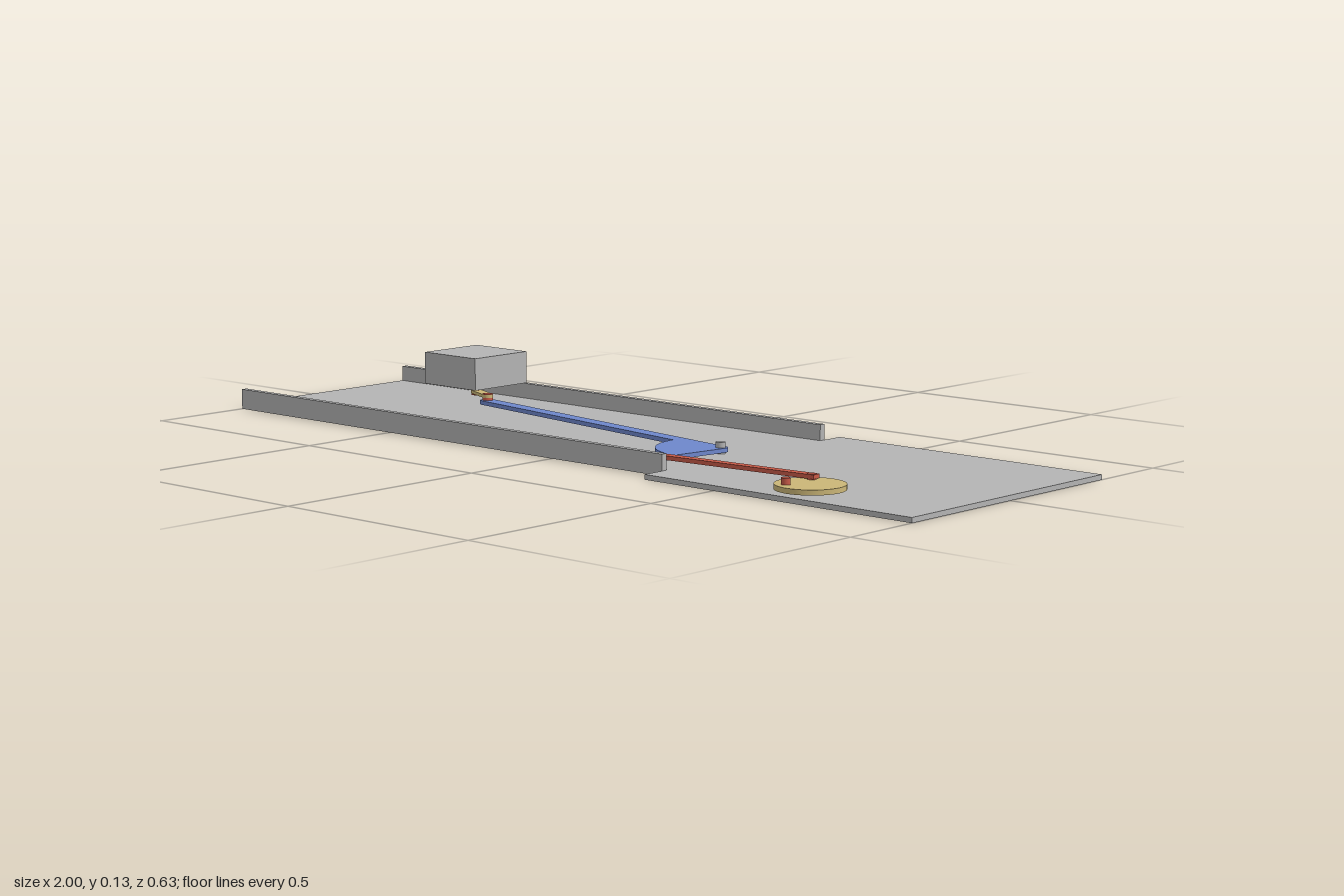
import * as THREE from 'three';

export function createModel() {
  const model = new THREE.Group();
  const mat = (name, color) => {
    const m = new THREE.MeshStandardMaterial({ color });
    m.name = name;
    return m;
  };
  const grey = mat('grey', 0xb4b4b4);
  const blue = mat('blue', 0x6e87cc);
  const yellow = mat('yellow', 0xcbb677);
  const red = mat('red', 0xc85a48);

  const add = (name, geometry, material) => {
    const mesh = new THREE.Mesh(geometry, material);
    mesh.name = name;
    model.add(mesh);
    return mesh;
  };
  // Box given by its limits on each axis
  const block = (name, x0, x1, y0, y1, z0, z1, material) =>
    add(name, new THREE.BoxGeometry(x1 - x0, y1 - y0, z1 - z0), material)
      .position.set((x0 + x1) / 2, (y0 + y1) / 2, (z0 + z1) / 2);
  // Upright cylinder between two heights
  const pin = (name, x, z, r, y0, y1, material, sides = 24) =>
    add(name, new THREE.CylinderGeometry(r, r, y1 - y0, sides), material)
      .position.set(x, (y0 + y1) / 2, z);
  // Plan shape (x, z) made into a plate between two heights
  const plate = (name, shape, y0, y1, material) => {
    const g = new THREE.ExtrudeGeometry(shape, { depth: y1 - y0, bevelEnabled: false, curveSegments: 24 });
    g.rotateX(Math.PI / 2);
    g.translate(0, y1, 0);
    return add(name, g, material);
  };

  // Stepped base plate
  const base = new THREE.Shape();
  [[-1, -0.262], [0.314, -0.262], [0.314, -0.315], [1, -0.315],
   [1, 0.315], [0.314, 0.315], [0.314, 0.262], [-1, 0.262]]
    .forEach(([x, z], i) => (i ? base.lineTo(x, z) : base.moveTo(x, z)));
  plate('basePlate', base, 0, 0.011, grey);

  // Side rails
  block('leftRail', -1, 0.314, 0.011, 0.046, 0.248, 0.262, grey);
  block('rightRail', -1, 0.314, 0.011, 0.046, -0.262, -0.248, grey);

  // Bell crank: long arm, short arm and the quarter web between them
  const w = 0.017, long = 0.835, short = 0.21, R = 0.137, q = Math.asin(w / R);
  const crank = new THREE.Shape();
  crank.absarc(0, 0, w, -Math.PI / 2, 0);
  crank.absarc(0, short, w, 0, Math.PI);
  crank.absarc(0, 0, R, Math.PI / 2 + q, Math.PI - q);
  crank.absarc(-long, 0, w, Math.PI / 2, Math.PI * 1.5);
  crank.closePath();
  const bellCrank = plate('bellCrank', crank, 0.0145, 0.024, blue);
  bellCrank.position.set(0.26, 0, 0.02);
  bellCrank.rotation.y = -0.154;
  pin('crankPivot', 0.262, 0.02, 0.0105, 0.011, 0.036, grey);

  // Drive wheel with its pin
  pin('driveWheel', 0.681, 0.23, 0.073, 0.015, 0.026, yellow, 48);
  pin('wheelPin', 0.652, 0.271, 0.0095, 0.026, 0.04, red);

  // Push rod from the short arm to the wheel, with a pin under each end
  const a = [0.226, 0.2275], b = [0.657, 0.191];
  const dx = b[0] - a[0], dz = b[1] - a[1];
  const rod = add('pushRod', new THREE.BoxGeometry(Math.hypot(dx, dz) + 0.014, 0.009, 0.021), red);
  rod.position.set((a[0] + b[0]) / 2, 0.0325, (a[1] + b[1]) / 2);
  rod.rotation.y = -Math.atan2(dz, dx);
  pin('rodCrankPin', a[0] + 0.003, a[1], 0.0095, 0.02, 0.0375, red);
  pin('rodWheelPin', b[0] - 0.005, b[1], 0.0095, 0.02, 0.0375, red);

  // Short link from the long arm to the load block
  const p = [-0.565, -0.109], s = [-0.634, -0.139];
  const ang = Math.atan2(s[1] - p[1], s[0] - p[0]), h = 0.012;
  const link = new THREE.Shape();
  link.absarc(0, 0, h, Math.PI / 2, Math.PI * 1.5);
  link.absarc(Math.hypot(s[0] - p[0], s[1] - p[1]), 0, h, -Math.PI / 2, Math.PI / 2);
  link.closePath();
  const linkMesh = plate('loadLink', link, 0.03, 0.0375, yellow);
  linkMesh.position.set(p[0], 0, p[1]);
  linkMesh.rotation.y = -ang;
  pin('armPin', p[0], p[1], 0.012, 0.024, 0.039, red);
  pin('loadPin', s[0], s[1], 0.011, 0.026, 0.053, red);
  block('loadBlock', -0.718, -0.552, 0.053, 0.127, -0.224, -0.056, grey);

  return model;
}
